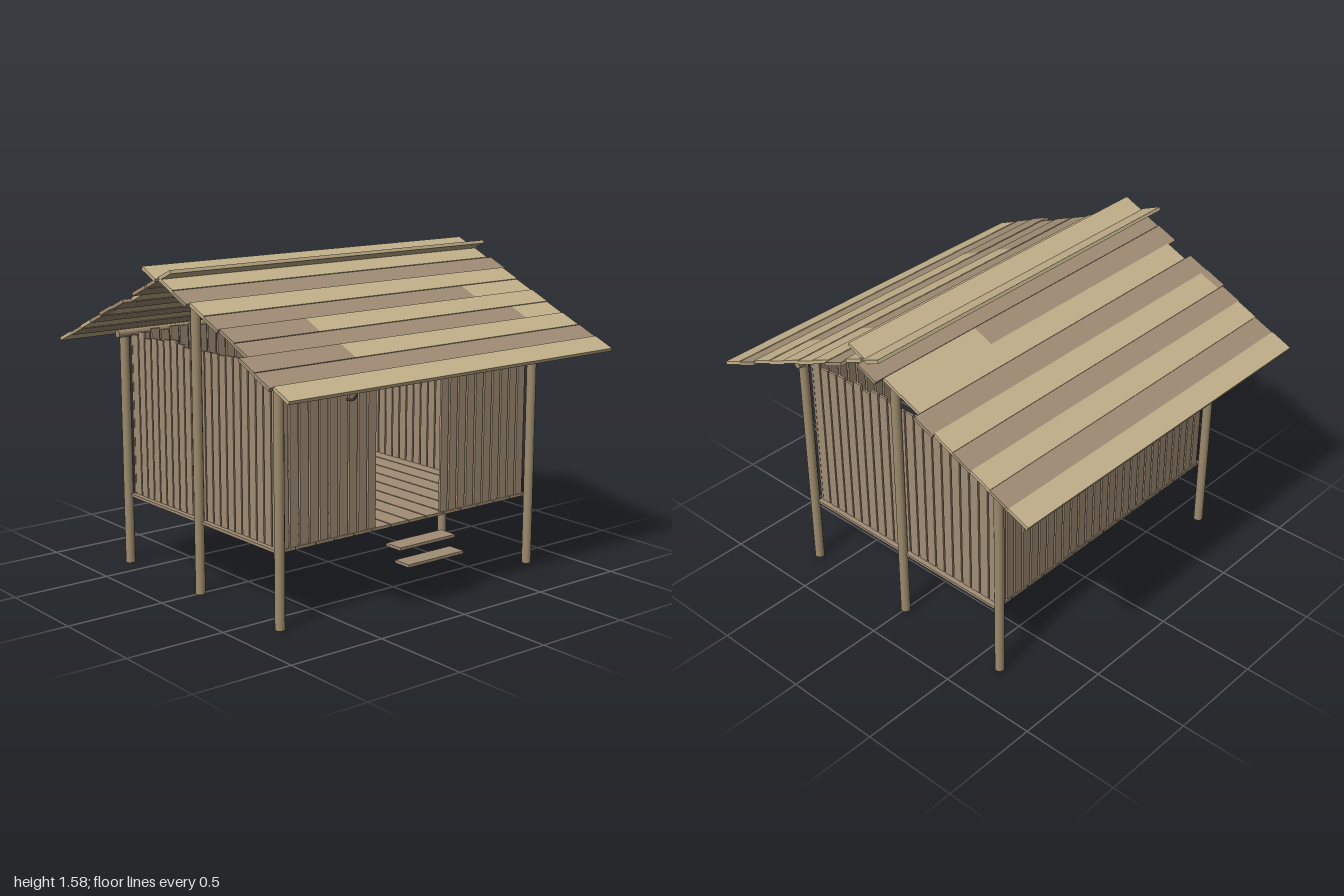
import * as THREE from 'three';

const mat = (name, color) => {
  const m = new THREE.MeshStandardMaterial({ color });
  m.name = name;
  return m;
};

export function createModel() {
  const tan = mat('pale wood', 0xc4b18b);
  const brown = mat('brown wood', 0xa18d75);
  const pole = mat('pole wood', 0x9c8a6c);
  const metal = mat('dark hook', 0x4a4238);

  const hut = new THREE.Group();
  hut.name = 'stiltHut';

  // small repeatable jitter in -1..1
  let seed = 7;
  const jitter = () => {
    seed = (seed * 16807) % 2147483647;
    return (seed / 2147483647) * 2 - 1;
  };
  const group = (name, parent = hut) => {
    const g = new THREE.Group();
    g.name = name;
    parent.add(g);
    return g;
  };
  const box = (parent, name, material, w, h, d, x, y, z) => {
    const m = new THREE.Mesh(new THREE.BoxGeometry(w, h, d), material);
    m.name = name;
    m.position.set(x, y, z);
    parent.add(m);
    return m;
  };
  const rod = (parent, name, r, length, x, y, z, alongX = false) => {
    const m = new THREE.Mesh(new THREE.CylinderGeometry(r, r, length, 12), pole);
    m.name = name;
    m.position.set(x, y, z);
    if (alongX) m.rotation.z = Math.PI / 2;
    parent.add(m);
  };

  // posts and horizontal poles
  const frame = group('frame');
  for (const x of [-0.78, 0.78]) {
    for (const z of [-0.63, 0.63]) rod(frame, 'cornerPost', 0.024, 1.16, x, 0.58, z);
    rod(frame, 'ridgePost', 0.024, 1.52, x, 0.76, 0);
  }
  for (const z of [-0.63, 0.63]) rod(frame, 'eavesBeam', 0.02, 1.64, 0, 1.175, z, true);
  rod(frame, 'ridgeBeam', 0.018, 1.6, 0, 1.495, 0, true);

  // floor planks run front to back
  const floor = group('floor');
  for (let i = 0; i < 14; i++) {
    box(floor, 'floorPlank', brown, 0.105, 0.014, 1.22, -0.728 + i * 0.112, 0.354, 0);
  }

  // walls of upright planks with narrow gaps
  const wallPlank = (parent, w, d, x, z) => {
    const top = 1.18 + jitter() * 0.015;
    box(parent, 'wallPlank', brown, w, top - 0.36, d, x, (top + 0.36) / 2, z);
  };
  const front = group('frontWall');
  const back = group('backWall');
  for (let i = -13; i <= 13; i++) {
    const x = i * 0.0565;
    wallPlank(back, 0.046, 0.012, x, -0.6);
    if (Math.abs(x) > 0.2) wallPlank(front, 0.046, 0.012, x, 0.6);
  }
  for (const side of [-1, 1]) {
    const wall = group(side > 0 ? 'leftWall' : 'rightWall');
    for (let i = 0; i < 21; i++) wallPlank(wall, 0.012, 0.048, side * 0.75, -0.57 + i * 0.057);
  }

  // door standing open inside
  const door = group('door');
  for (let i = 0; i < 7; i++) {
    box(door, 'doorPlank', brown, 0.012, 0.73, 0.048, -0.232, 0.735, 0.565 - i * 0.052);
  }
  for (const y of [0.49, 0.97]) box(door, 'doorBatten', brown, 0.014, 0.05, 0.35, -0.245, y, 0.41);

  // steps and inner bench
  box(hut, 'upperStep', brown, 0.345, 0.014, 0.1, -0.003, 0.284, 0.7);
  box(hut, 'lowerStep', brown, 0.345, 0.014, 0.095, -0.003, 0.218, 0.762);
  box(hut, 'bench', brown, 0.41, 0.014, 0.12, -0.475, 0.53, -0.45);

  // small wall hooks
  const hookPath = new THREE.CatmullRomCurve3([
    new THREE.Vector3(0, 0, 0),
    new THREE.Vector3(0, 0.005, 0.04),
    new THREE.Vector3(0, 0.035, 0.075),
  ]);
  const hookGeometry = new THREE.TubeGeometry(hookPath, 8, 0.006, 6);
  for (const [x, z, turn] of [[-0.41, 0.645, 0], [-0.745, -0.23, Math.PI / 2], [0.745, -0.23, -Math.PI / 2]]) {
    const hook = new THREE.Mesh(hookGeometry, metal);
    hook.name = 'hook';
    hook.position.set(x, 1.005, z);
    hook.rotation.y = turn;
    hut.add(hook);
  }

  // roof rows from eaves to ridge: [left end, right end, colour, ...]
  const frontRows = [
    [-0.98, 0.98, tan],
    [-1, 0.98, brown],
    [-1, -0.45, brown, -0.45, 0.97, tan],
    [-0.95, 0.72, brown, 0.72, 0.97, tan],
    [-0.95, -0.48, brown, -0.48, 0.97, tan],
    [-0.96, 0.58, brown, 0.58, 0.97, tan],
    [-0.96, 0.97, tan],
    [-0.98, 0.99, brown],
    [-0.98, 0.96, tan],
    [-1, 0.965, tan],
  ];
  const backRows = [
    [-0.95, 0.97, tan],
    [-0.95, 0.97, brown],
    [-0.95, 0.97, tan],
    [-0.96, 0.97, brown],
    [-0.97, -0.92, brown, -0.92, 0.97, tan],
    [-0.97, 0.98, brown],
    [-0.92, 0.95, tan],
    [-0.98, 0.38, brown, 0.38, 0.95, tan],
    [-0.97, 1, brown],
    [-0.98, 0.95, tan],
  ];
  const slope = 0.425;
  const pitch = 0.1065;
  const angle = Math.atan(slope);
  const buildSlope = (name, rows, side) => {
    const roof = group(name);
    rows.forEach((row, i) => {
      const z = 0.965 - pitch * (i + 0.5);
      const y = 1.527 - slope * z + (i % 2 ? -0.002 : 0.002);
      for (let k = 0; k < row.length; k += 3) {
        const length = row[k + 1] - row[k];
        const plank = box(roof, 'roofPlank', row[k + 2], length, 0.017, 0.118,
          (row[k] + row[k + 1]) / 2, y, side * z);
        plank.rotation.x = side * angle;
      }
    });
  };
  buildSlope('frontRoof', frontRows, 1);
  buildSlope('backRoof', backRows, -1);

  return hut;
}
